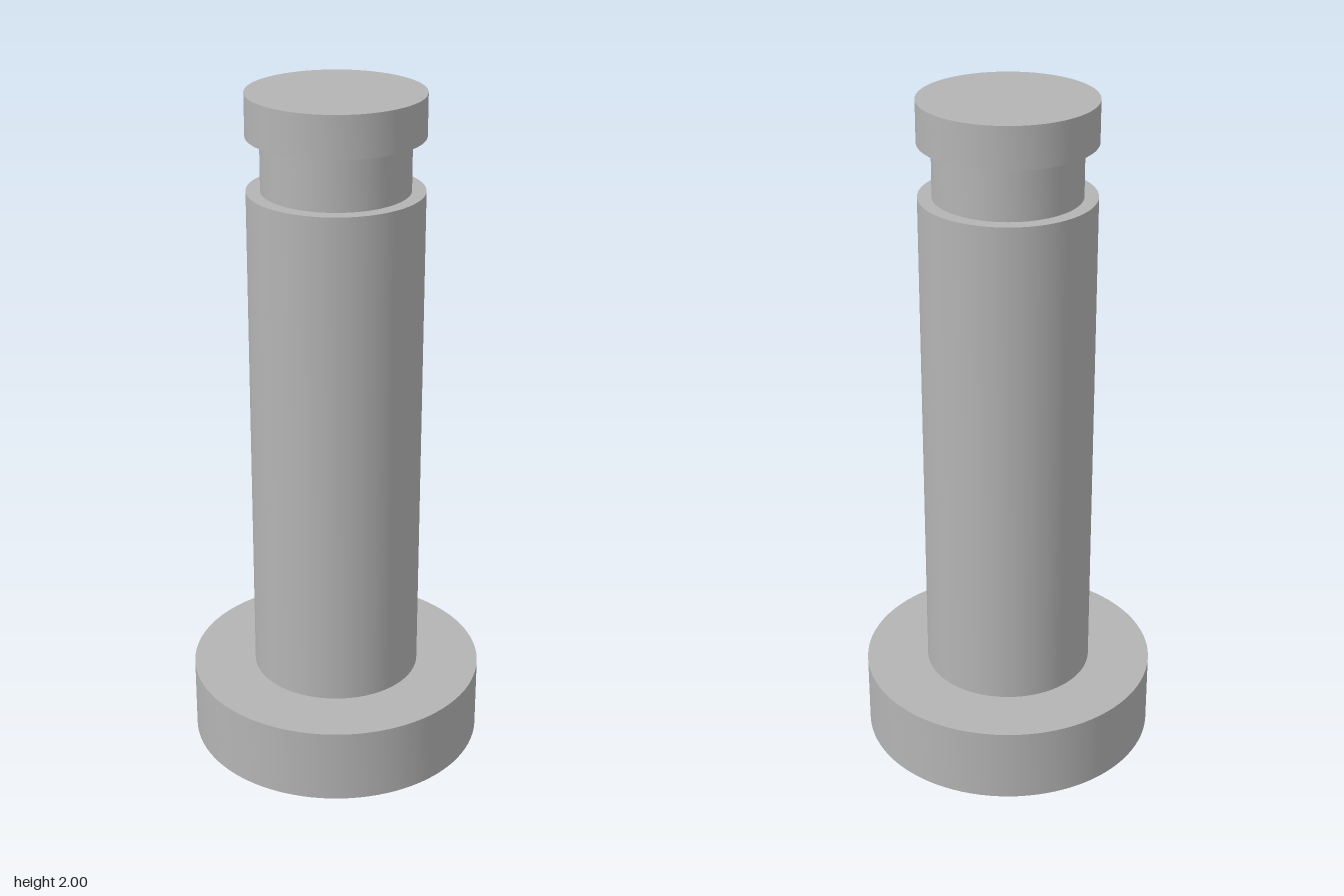
import * as THREE from 'three';
import { toCreasedNormals } from 'three/addons/utils/BufferGeometryUtils.js';

const SEGMENTS = 96;
const BASE_R = 0.4375, SHAFT_R = 0.25, NECK_R = 0.21;
const BASE_TOP = 0.225, GROOVE_BOTTOM = 1.725, GROOVE_TOP = 1.88, TOP = 2;

export function createModel() {
  const group = new THREE.Group();
  group.name = 'clevisPin';
  const steel = new THREE.MeshStandardMaterial({ color: 0xb4b4b4 });
  steel.name = 'steel grey';

  // Turned part from a [radius, height] profile, listed bottom to top, with sharp rims
  function turned(name, profile) {
    const points = profile.map(([r, y]) => new THREE.Vector2(r, y));
    const lathe = new THREE.LatheGeometry(points, SEGMENTS);
    const mesh = new THREE.Mesh(toCreasedNormals(lathe, 0.6), steel);
    mesh.name = name;
    group.add(mesh);
  }

  // Wide head the pin stands on, with its upper shoulder
  turned('baseFlange', [[0, 0], [BASE_R, 0], [BASE_R, BASE_TOP], [SHAFT_R, BASE_TOP]]);
  // Long shaft and the ledge below the groove
  turned('shaft', [[SHAFT_R, BASE_TOP], [SHAFT_R, GROOVE_BOTTOM], [NECK_R, GROOVE_BOTTOM]]);
  // Narrow floor of the retaining groove
  turned('grooveNeck', [[NECK_R, GROOVE_BOTTOM], [NECK_R, GROOVE_TOP]]);
  // End cap with its underside ledge
  turned('endCap', [[NECK_R, GROOVE_TOP], [SHAFT_R, GROOVE_TOP], [SHAFT_R, TOP], [0, TOP]]);

  return group;
}
